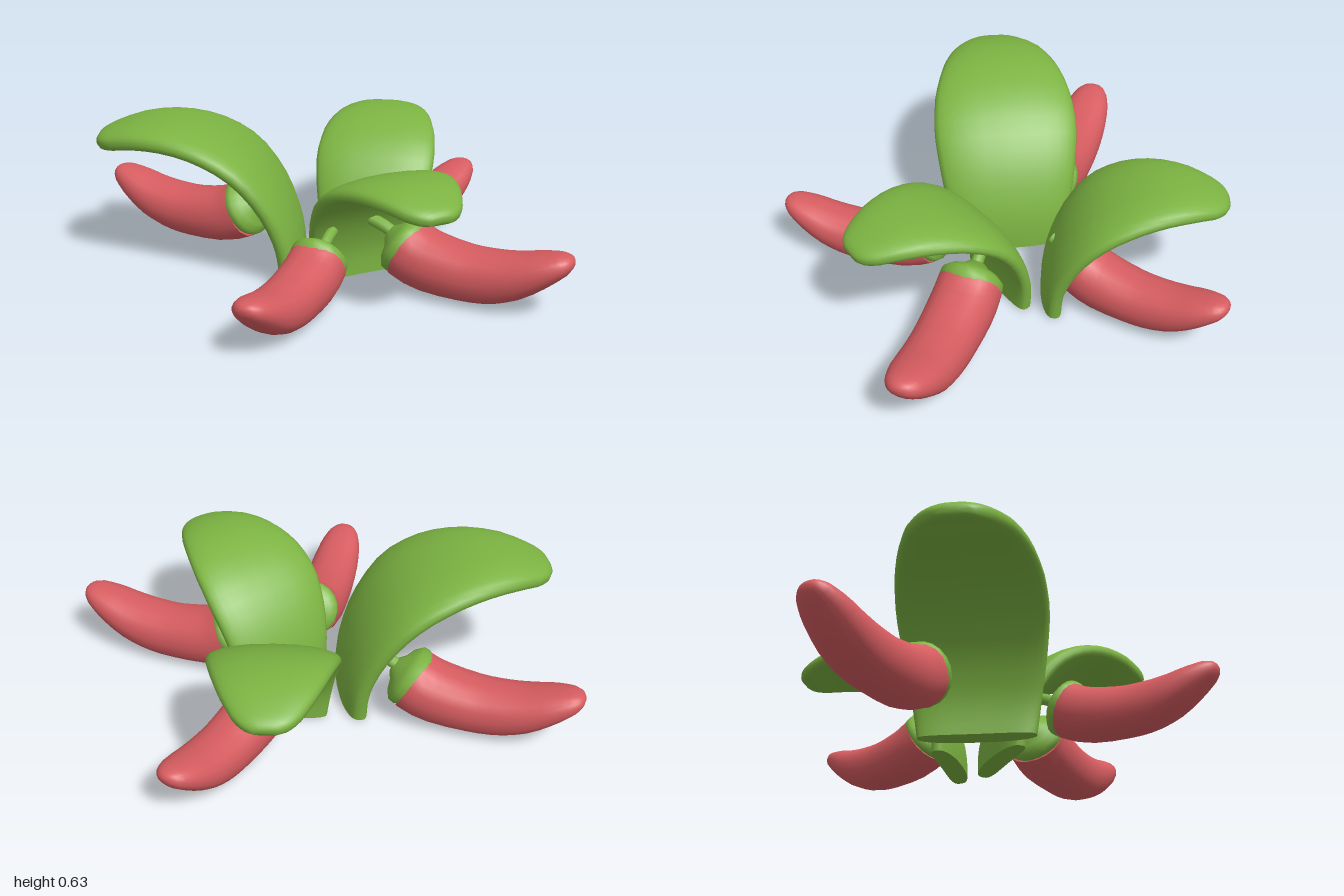
import * as THREE from 'three';

// Sweeps a ring along a path in the local xy plane.
// stations: [x, y, half width, half thickness]; crown bows the ring in proportion to its width.
function loft(stations, steps, sides, crown, power) {
  const path = new THREE.CatmullRomCurve3(stations.map(([x, y]) => new THREE.Vector3(x, y, 0)));
  const sizes = new THREE.CatmullRomCurve3(stations.map((s) => new THREE.Vector3(s[2], s[3], 0)));
  const pos = [], index = [];
  const soft = (c) => Math.sign(c) * Math.abs(c) ** power;
  const addRing = (t) => {
    const p = path.getPoint(t), d = path.getTangent(t), size = sizes.getPoint(t);
    for (let j = 0; j < sides; j++) {
      const a = (j / sides) * Math.PI * 2;
      const u = soft(Math.cos(a));
      const v = size.y * soft(Math.sin(a)) + crown * size.x * (0.5 - u * u);
      pos.push(p.x - d.y * v, p.y + d.x * v, size.x * u);
    }
  };
  for (let i = 0; i <= steps; i++) addRing(i / steps);
  for (let i = 0; i < steps; i++) {
    for (let j = 0; j < sides; j++) {
      const k = (j + 1) % sides, a = i * sides, b = a + sides;
      index.push(a + j, b + j, a + k, a + k, b + j, b + k);
    }
  }
  // End caps; the first has its own ring so its edge stays sharp
  const first = pos.length / 3;
  addRing(0);
  const start = stations[0], end = stations[stations.length - 1];
  pos.push(start[0], start[1], 0, end[0], end[1], 0);
  const c0 = first + sides, c1 = c0 + 1, last = steps * sides;
  for (let j = 0; j < sides; j++) {
    const k = (j + 1) % sides;
    index.push(c0, first + j, first + k, c1, last + k, last + j);
  }
  const g = new THREE.BufferGeometry();
  g.setAttribute('position', new THREE.Float32BufferAttribute(pos, 3));
  g.setIndex(index);
  g.computeVertexNormals();
  return g;
}

export function createModel() {
  const model = new THREE.Group();
  const green = new THREE.MeshStandardMaterial({ color: 0x7cb342, side: THREE.DoubleSide });
  green.name = 'leaf green';
  const red = new THREE.MeshStandardMaterial({ color: 0xd65c60 });
  red.name = 'pepper red';

  const add = (parent, name, geometry, material) => {
    const mesh = new THREE.Mesh(geometry, material);
    mesh.name = name;
    parent.add(mesh);
    return mesh;
  };

  // Places a group so that its local +x points along (dx, dz)
  const place = (name, x, z, dx, dz, scale) => {
    const group = new THREE.Group();
    group.name = name;
    group.position.set(x, 0, z);
    group.rotation.y = Math.atan2(-dz, dx);
    group.scale.setScalar(scale);
    model.add(group);
    return group;
  };

  // Thick arching leaves: upright at the base, bending outward to a narrow tip
  const leafGeometry = loft([
    [0.217, 0, 0.195, 0.042], [0.22, 0.07, 0.205, 0.042], [0.235, 0.15, 0.217, 0.042],
    [0.285, 0.27, 0.237, 0.043], [0.37, 0.38, 0.25, 0.043], [0.48, 0.448, 0.24, 0.042],
    [0.6, 0.48, 0.212, 0.042], [0.72, 0.48, 0.17, 0.04], [0.82, 0.457, 0.115, 0.034],
    [0.855, 0.447, 0.08, 0.027], [0.872, 0.442, 0.045, 0.014],
  ], 24, 28, 0.07, 0.7);
  const leaves = [
    ['backLeaf', 0.165, 0, 0, -1, 1],
    ['rightLeaf', 0.13, -0.07, -0.99, 0.13, 1.18],
    ['frontLeaf', 0.017, -0.183, 0.59, 0.81, 1],
  ];
  for (const [name, ...spot] of leaves) add(place(name, ...spot), 'leafBlade', leafGeometry, green);

  // Sagging pepper body with a blunt upturned tip
  const pepperGeometry = loft([
    [0, 0.167, 0.125, 0.12], [0.08, 0.132, 0.127, 0.118], [0.25, 0.111, 0.121, 0.107],
    [0.36, 0.117, 0.117, 0.102], [0.46, 0.142, 0.112, 0.088], [0.56, 0.188, 0.097, 0.066],
    [0.63, 0.222, 0.07, 0.044], [0.66, 0.236, 0.042, 0.025], [0.67, 0.24, 0.015, 0.008],
  ], 20, 18, 0, 0.9);

  // Flared cap over the thick end, narrowing into a short stem
  const capGeometry = new THREE.LatheGeometry([
    [0.108, -0.055], [0.126, -0.022], [0.124, 0.004], [0.098, 0.026], [0.058, 0.042],
    [0.034, 0.062], [0, 0.07],
  ].map(([r, y]) => new THREE.Vector2(r, y)), 20);
  const stemGeometry = new THREE.TubeGeometry(new THREE.CatmullRomCurve3([
    new THREE.Vector3(-0.02, 0.19, 0), new THREE.Vector3(-0.09, 0.232, 0),
    new THREE.Vector3(-0.155, 0.256, 0),
  ]), 8, 0.025, 10);

  const peppers = [
    ['rightPepper', -0.36, -0.2, -0.95, -0.31, 1],
    ['leftPepper', 0.36, 0.1, 0.95, 0.31, 1],
    ['frontPepper', 0.045, 0.29, -0.23, 0.97, 0.91],
    ['backPepper', 0.215, -0.33, 0.5, -0.866, 0.91],
  ];
  for (const [name, ...spot] of peppers) {
    const group = place(name, ...spot);
    add(group, 'pepperBody', pepperGeometry, red);
    const cap = add(group, 'pepperCap', capGeometry, green);
    cap.position.set(-0.018, 0.182, 0);
    cap.rotation.z = Math.PI / 3;
    add(group, 'pepperStem', stemGeometry, green);
  }
  return model;
}
